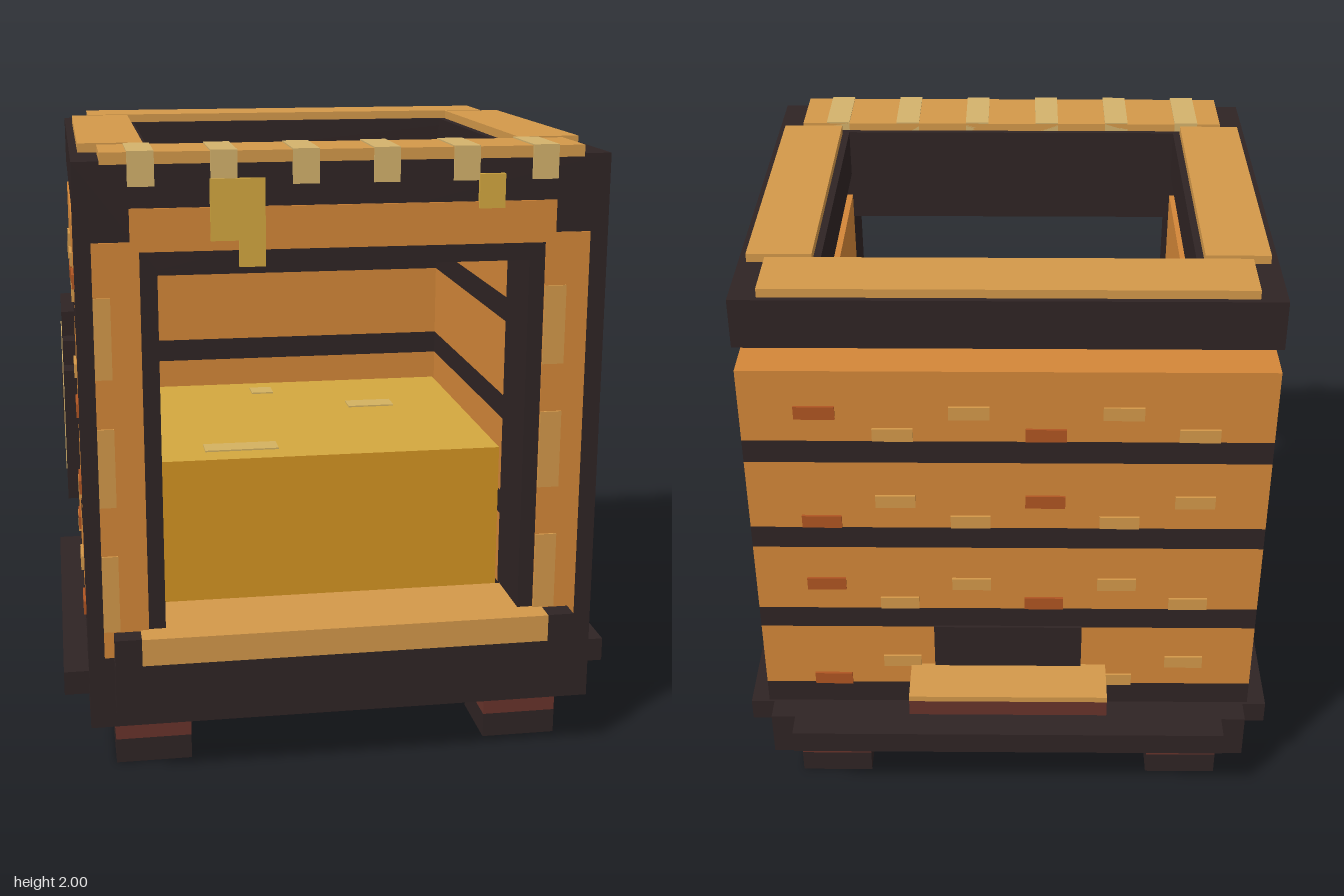
import * as THREE from 'three';

const mat = (name, color) => {
  const m = new THREE.MeshStandardMaterial({ color });
  m.name = name;
  return m;
};

export function createModel() {
  const dark = mat('dark wood', 0x2f2424);
  const orange = mat('orange wood', 0xd48738);
  const plank = mat('light plank', 0xd4994a);
  const tan = mat('pale wax', 0xd4b26c);
  const gold = mat('honey surface', 0xd4a83f);
  const amber = mat('honey side', 0xd49422);
  const brown = mat('red brown wood', 0x68332b);
  const rust = mat('rust chip', 0xb05522);
  const glint = mat('honey glint', 0xd4b160);

  const root = new THREE.Group();
  root.name = 'beeHouse';

  // Box given by its minimum and maximum on each axis
  const box = (name, material, x0, x1, y0, y1, z0, z1, parent = root) => {
    const m = new THREE.Mesh(new THREE.BoxGeometry(x1 - x0, y1 - y0, z1 - z0), material);
    m.position.set((x0 + x1) / 2, (y0 + y1) / 2, (z0 + z1) / 2);
    m.name = name;
    parent.add(m);
    return m;
  };
  // Closed outline extruded along z, with optional holes
  const slab = (name, material, pts, hole, z0, z1) => {
    const shape = new THREE.Shape(pts.map(p => new THREE.Vector2(...p)));
    if (hole) shape.holes.push(new THREE.Path(hole.map(p => new THREE.Vector2(...p))));
    const g = new THREE.ExtrudeGeometry(shape, { depth: z1 - z0, bevelEnabled: false });
    g.translate(0, 0, z0);
    const m = new THREE.Mesh(g, material);
    m.name = name;
    root.add(m);
    return m;
  };
  const rect = (x0, x1, y0, y1) => [[x0, y0], [x1, y0], [x1, y1], [x0, y1]];

  // Feet
  for (const s of [-1, 1]) for (const [z0, z1] of [[0.45, 0.695], [-0.62, -0.375]]) {
    const a = s < 0 ? -0.74 : 0.492, b = a + 0.246;
    box('footTip', dark, a, b, 0, 0.082, z0, z1);
    box('foot', brown, a, b, 0.082, 0.17, z0, z1);
  }

  // Base and its protruding skids
  box('base', dark, -0.82, 0.82, 0.17, 0.33, -0.70, 0.78);
  box('sideSkids', dark, -0.9, 0.9, 0.25, 0.328, -0.62, 0.69);
  box('endSkids', dark, -0.738, 0.738, 0.25, 0.332, -0.785, 0.855);
  box('plinth', orange, -0.738, 0.738, 0.33, 0.41, -0.615, 0.55);

  // Banded walls on the back and both sides
  const levels = [0.41, 0.495, 0.74, 0.82, 1.07, 1.15, 1.40, 1.48, 1.73];
  for (let i = 0; i < 8; i++) {
    const m = i % 2 ? orange : dark, y0 = levels[i], y1 = levels[i + 1];
    box('backWall', m, -0.82, 0.82, y0, y1, -0.70, -0.46);
    for (const s of [-1, 1])
      box('sideWall', m, s < 0 ? -0.82 : 0.572, s < 0 ? -0.572 : 0.82, y0, y1, -0.46, 0.535);
  }

  // Wood chips set in the orange bands
  for (let row = 0; row < 4; row++) for (let i = 0; i < 6; i++) {
    const top = levels[8 - row * 2];
    const y0 = top - ((i + row) % 2 ? 0.247 : 0.168), y1 = y0 + 0.045;
    const m = i % 3 === 0 ? rust : tan === undefined ? tan : plank;
    const z1 = 0.617 - i * 0.2055, x = 0.59 - i * 0.236;
    box('sideChip', m, 0.81, 0.828, y0, y1, z1 - 0.126, z1);
    box('sideChip', m, -0.828, -0.81, y0, y1, z1 - 0.126, z1);
    box('backChip', m, x - 0.063, x + 0.063, y0, y1, -0.708, -0.69);
  }

  // Front frame with its opening and stepped orange facing
  slab('frontFrame', dark, rect(-0.82, 0.82, 0.17, 1.97), rect(-0.575, 0.572, 0.41, 1.645), 0.535, 0.78);
  slab('frontFacing', orange,
    [[-0.77, 0.41], [0.762, 0.41], [0.762, 1.73], [0.652, 1.73], [0.652, 1.83], [-0.655, 1.83], [-0.655, 1.73], [-0.77, 1.73]],
    rect(-0.628, 0.622, 0.412, 1.70), 0.779, 0.787);
  for (const y of [0.5, 0.91, 1.315]) {
    box('facingChip', plank, -0.77, -0.718, y, y + 0.25, 0.78, 0.794);
    box('facingChip', plank, 0.622, 0.69, y, y + 0.25, 0.78, 0.794);
  }

  // Front sill
  box('sillBeam', dark, -0.74, 0.738, 0.25, 0.41, 0.77, 0.856);
  for (const s of [-1, 1])
    box('sillEnd', dark, s * 0.697 - 0.042, s * 0.697 + 0.042, 0.41, 0.495, 0.77, 0.856);
  box('sillPlank', plank, -0.655, 0.652, 0.41, 0.498, 0.56, 0.866);

  // Top rim and its boards
  box('rimBack', dark, -0.82, 0.82, 1.81, 1.97, -0.70, -0.46);
  for (const s of [-1, 1]) {
    box('rimSide', dark, s < 0 ? -0.82 : 0.572, s < 0 ? -0.572 : 0.82, 1.81, 1.97, -0.46, 0.535);
    box('rimSideBoard', plank, s * 0.695 - 0.1, s * 0.695 + 0.1, 1.96, 1.998, -0.46, 0.528);
  }
  box('rimBackBoard', plank, -0.738, 0.735, 1.96, 1.998, -0.682, -0.48);
  box('rimFrontBoard', plank, -0.738, 0.735, 1.96, 1.996, 0.553, 0.782);

  // Wax strips folded over the front edge
  for (let i = 0; i < 6; i++) {
    const x = -0.618 + i * 0.246;
    box('waxStripTop', tan, x - 0.04, x + 0.04, 1.97, 2, 0.553, 0.79);
    box('waxStripFront', tan, x - 0.04, x + 0.04, 1.895, 2, 0.775, 0.79);
  }

  // Honey drips on the front
  slab('largeDrip', gold,
    [[-0.415, 1.73], [-0.33, 1.73], [-0.33, 1.65], [-0.25, 1.65], [-0.25, 1.915], [-0.415, 1.915]], null, 0.78, 0.797);
  box('smallDrip', gold, 0.405, 0.485, 1.81, 1.915, 0.78, 0.797);

  // Honey block with glints on top
  box('honeyBlock', [amber, amber, gold, amber, amber, amber], -0.57, 0.565, 0.33, 0.97, -0.457, 0.53);
  for (const [x0, x1, z0, z1] of [[-0.165, -0.085, -0.375, -0.295], [0.16, 0.325, -0.13, -0.05], [-0.41, -0.165, 0.36, 0.44]])
    box('honeyGlint', glint, x0, x1, 0.966, 0.975, z0, z1);

  // Stepped side emblems: dark disc, pale ring, dark centre
  const v = 0.0822, cy = 1.072;
  for (const s of [-1, 1]) {
    const emblem = new THREE.Group();
    emblem.name = 'sideEmblem';
    const layer = (name, m, x, w, h) =>
      box(name, m, s > 0 ? 0.81 : -x, s > 0 ? x : -0.81, cy - h * v, cy + h * v, -w * v, w * v, emblem);
    for (const [w, h] of [[4, 2], [3, 3], [2, 4]]) layer('emblemDisc', dark, 0.862, w, h);
    for (const [w, h] of [[3, 1], [2, 2], [1, 3]]) layer('emblemRing', tan, 0.865, w, h);
    layer('emblemCentre', dark, 0.868, 1, 1);
    root.add(emblem);
  }

  // Back doorway and landing board
  box('doorway', dark, -0.245, 0.245, 0.495, 0.745, -0.709, -0.69);
  box('landingBoard', brown, -0.328, 0.325, 0.5, 0.558, -0.865, -0.69);
  box('landingTop', plank, -0.328, 0.325, 0.558, 0.578, -0.865, -0.69);

  return root;
}
